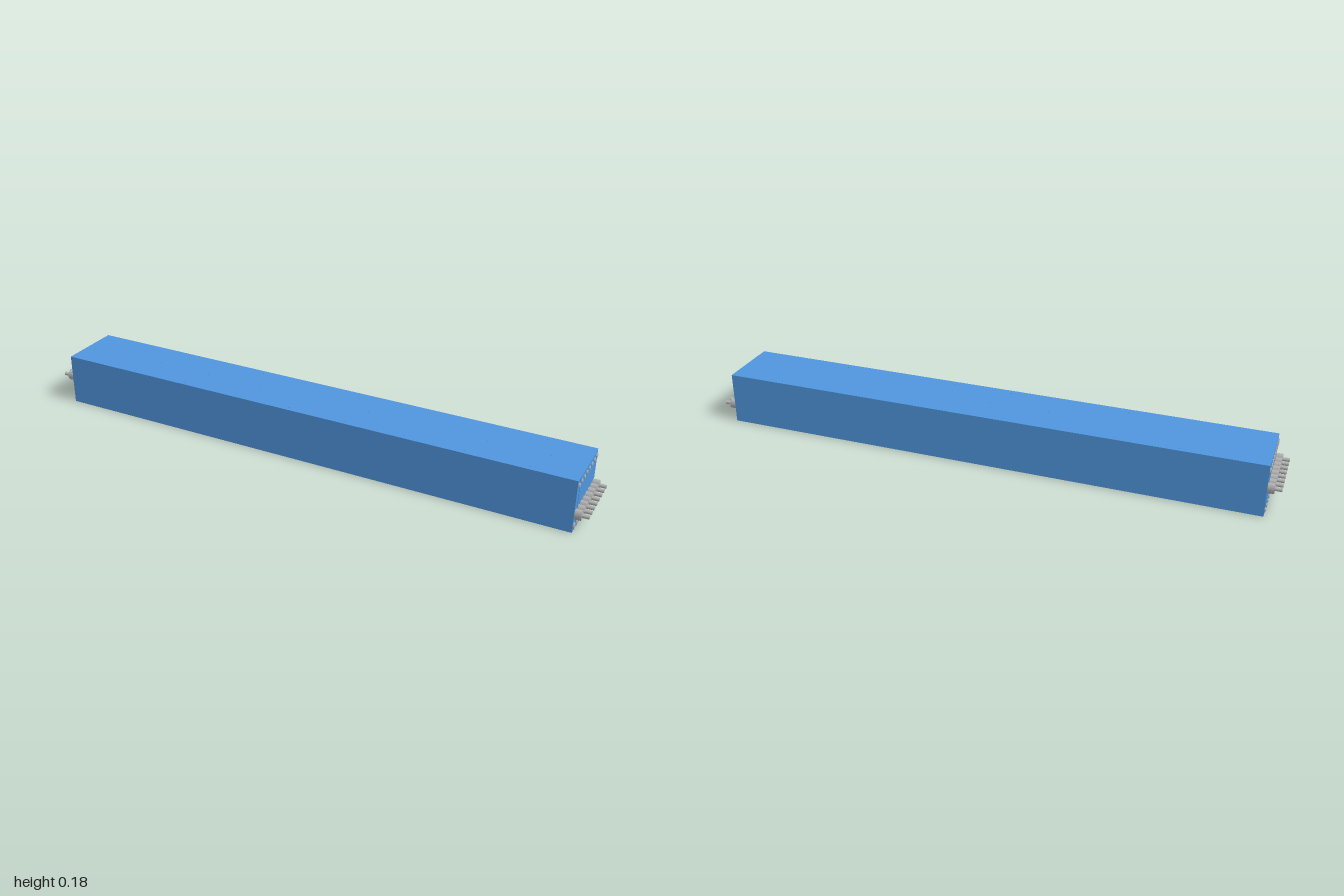
import * as THREE from 'three';

const blue = new THREE.MeshStandardMaterial({ color: 0x4f96dd });
const grey = new THREE.MeshStandardMaterial({ color: 0xb0b0b0 });

const HALF = 0.955, H = 0.184, W = 0.226;
const COUNT = 8, PITCH = 0.0286;

// Oval plug pointing along +x, starting at x = 0
function plug(name, ry, rz, length) {
  const shape = new THREE.Shape();
  shape.absellipse(0, 0, rz, ry, 0, Math.PI * 2);
  const geo = new THREE.ExtrudeGeometry(shape, { depth: length, bevelEnabled: false, curveSegments: 14 });
  geo.rotateY(Math.PI / 2);
  const mesh = new THREE.Mesh(geo, grey);
  mesh.name = name;
  return mesh;
}

// Row of repeated parts across the width of an end
function row(name, y, make) {
  const group = new THREE.Group();
  group.name = name;
  for (let i = 0; i < COUNT; i++) {
    const part = make();
    part.position.set(HALF, y, (i - (COUNT - 1) / 2) * PITCH);
    group.add(part);
  }
  return group;
}

// Stepped connector: oval collar with a thin round pin
function connector() {
  const group = new THREE.Group();
  group.name = 'connector';
  group.add(plug('collar', 0.018, 0.0132, 0.022), plug('pin', 0.0065, 0.0065, 1 - HALF));
  return group;
}

// One complete end, built facing +x
function end(name, connectorY, largeY, smallY) {
  const group = new THREE.Group();
  group.name = name;
  const plate = new THREE.Mesh(new THREE.BoxGeometry(0.004, H - 0.001, 0.174), blue);
  plate.name = 'endPlate';
  plate.position.set(HALF - 0.001, H / 2, 0);
  group.add(
    plate,
    row('connectors', connectorY, connector),
    row('ovalPorts', largeY, () => plug('ovalPort', 0.0115, 0.0088, 0.004)),
    row('roundPorts', smallY, () => plug('roundPort', 0.007, 0.007, 0.004))
  );
  return group;
}

export function createModel() {
  const model = new THREE.Group();
  model.name = 'manifoldBlock';

  // Long housing
  const body = new THREE.Mesh(new THREE.BoxGeometry(HALF * 2, H, W), blue);
  body.name = 'housing';
  body.position.y = H / 2;
  model.add(body);

  // The two ends carry their connectors at different heights
  const leftEnd = end('leftEnd', 0.062, 0.019, 0.165);
  const rightEnd = end('rightEnd', 0.1, 0.16, 0.02);
  rightEnd.rotation.y = Math.PI;
  model.add(leftEnd, rightEnd);

  // Tiny flush screws in staggered rows on the lid
  const screwGeo = new THREE.CylinderGeometry(0.003, 0.003, 0.001, 10);
  const screws = new THREE.Group();
  screws.name = 'lidScrews';
  for (let i = 0; i < 9; i++) {
    for (const z of [-0.095, 0, 0.095]) {
      const screw = new THREE.Mesh(screwGeo, blue);
      screw.name = 'lidScrew';
      screw.position.set(-0.88 + i * 0.21 + (z === 0 ? 0.04 : 0), H, z);
      screws.add(screw);
    }
  }
  model.add(screws);
  return model;
}
